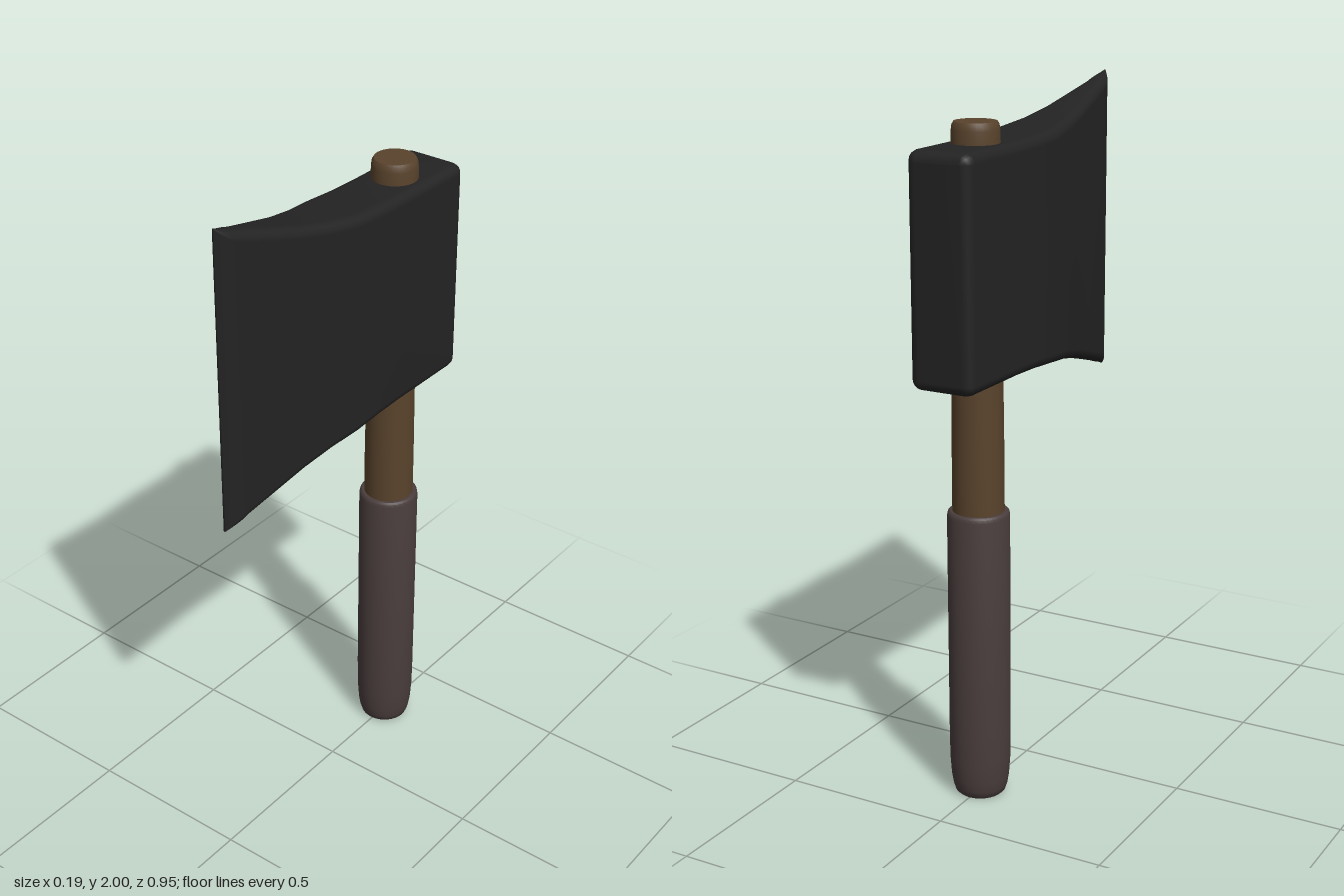
import * as THREE from 'three';
import { toCreasedNormals } from 'three/addons/utils/BufferGeometryUtils.js';

const HANDLE_Z = -0.276;
const HEAD_Y = 1.555;
const CORNER = 0.03;
const STEPS = 4; // segments per rounded corner

// Rounded rectangle, counter-clockwise seen from the front
function ring(w, h, r, z) {
  const pts = [];
  [[1, 1], [-1, 1], [-1, -1], [1, -1]].forEach(([sx, sy], q) => {
    for (let i = 0; i <= STEPS; i++) {
      const a = (q + i / STEPS) * Math.PI / 2;
      pts.push([sx * (w - r) + r * Math.cos(a), HEAD_Y + sy * (h - r) + r * Math.sin(a), z]);
    }
  });
  return pts;
}

// Axe head: rounded cross-sections from the poll to the cutting edge
function headGeometry() {
  const rings = [];
  // rounded back end
  for (let i = 0; i <= STEPS; i++) {
    const a = i / STEPS * Math.PI / 2;
    const inset = CORNER * (1 - Math.sin(a));
    rings.push(ring(0.097 - inset, 0.32 - inset, Math.max(CORNER - inset, 0.001), -0.473 + CORNER * (1 - Math.cos(a))));
  }
  // flaring blade: z, half width, half height
  [[-0.2, 0.097, 0.32], [-0.1, 0.097, 0.323], [0, 0.097, 0.33], [0.1, 0.082, 0.343], [0.2, 0.066, 0.364],
    [0.3, 0.051, 0.392], [0.4, 0.035, 0.421], [0.43, 0.03, 0.431], [0.455, 0.018, 0.438], [0.473, 0.003, 0.445]]
    .forEach(([z, w, h]) => rings.push(ring(w, h, Math.min(CORNER, w * 0.9), z)));

  const n = rings[0].length;
  const pos = rings.flat(2);
  const index = [];
  for (let k = 0; k < rings.length - 1; k++) {
    for (let j = 0; j < n; j++) {
      const a = k * n + j, b = k * n + (j + 1) % n;
      index.push(a, b, b + n, a, b + n, a + n);
    }
  }
  // end caps
  const last = (rings.length - 1) * n;
  for (let j = 1; j < n - 1; j++) {
    index.push(0, j + 1, j);
    index.push(last, last + j, last + j + 1);
  }
  const geo = new THREE.BufferGeometry();
  geo.setAttribute('position', new THREE.Float32BufferAttribute(pos, 3));
  geo.setIndex(index);
  geo.computeVertexNormals();
  return geo;
}

// Turned part from [radius, y] points, bottom to top
function turned(profile) {
  const geo = new THREE.LatheGeometry(profile.map(([r, y]) => new THREE.Vector2(r, y)), 32);
  return toCreasedNormals(geo, 0.6);
}

export function createModel() {
  const steel = new THREE.MeshStandardMaterial({ color: 0x232323 });
  const wood = new THREE.MeshStandardMaterial({ color: 0x59432c });
  const leather = new THREE.MeshStandardMaterial({ color: 0x4a3d3d });
  steel.name = 'blackened steel';
  wood.name = 'brown wood';
  leather.name = 'grip wrap';

  const model = new THREE.Group();
  model.name = 'axe';
  const add = (name, geo, mat, z = 0) => {
    const mesh = new THREE.Mesh(geo, mat);
    mesh.name = name;
    mesh.position.z = z;
    model.add(mesh);
  };

  add('axeHead', headGeometry(), steel);

  // Wooden shaft, running through the head with a softened top
  add('handle', turned([[0, 0.8], [0.073, 0.8], [0.073, 0.98], [0.071, 1.2], [0.066, 1.88],
    [0.065, 1.91], [0.063, 1.924], [0.058, 1.932], [0, 1.932]]), wood, HANDLE_Z);

  // Thicker grip with a rounded butt
  add('grip', turned([[0, 0], [0.064, 0], [0.072, 0.007], [0.078, 0.025], [0.083, 0.055], [0.087, 0.11],
    [0.088, 0.2], [0.088, 0.845], [0.086, 0.855], [0.081, 0.86], [0.07, 0.86]]), leather, HANDLE_Z);

  return model;
}
